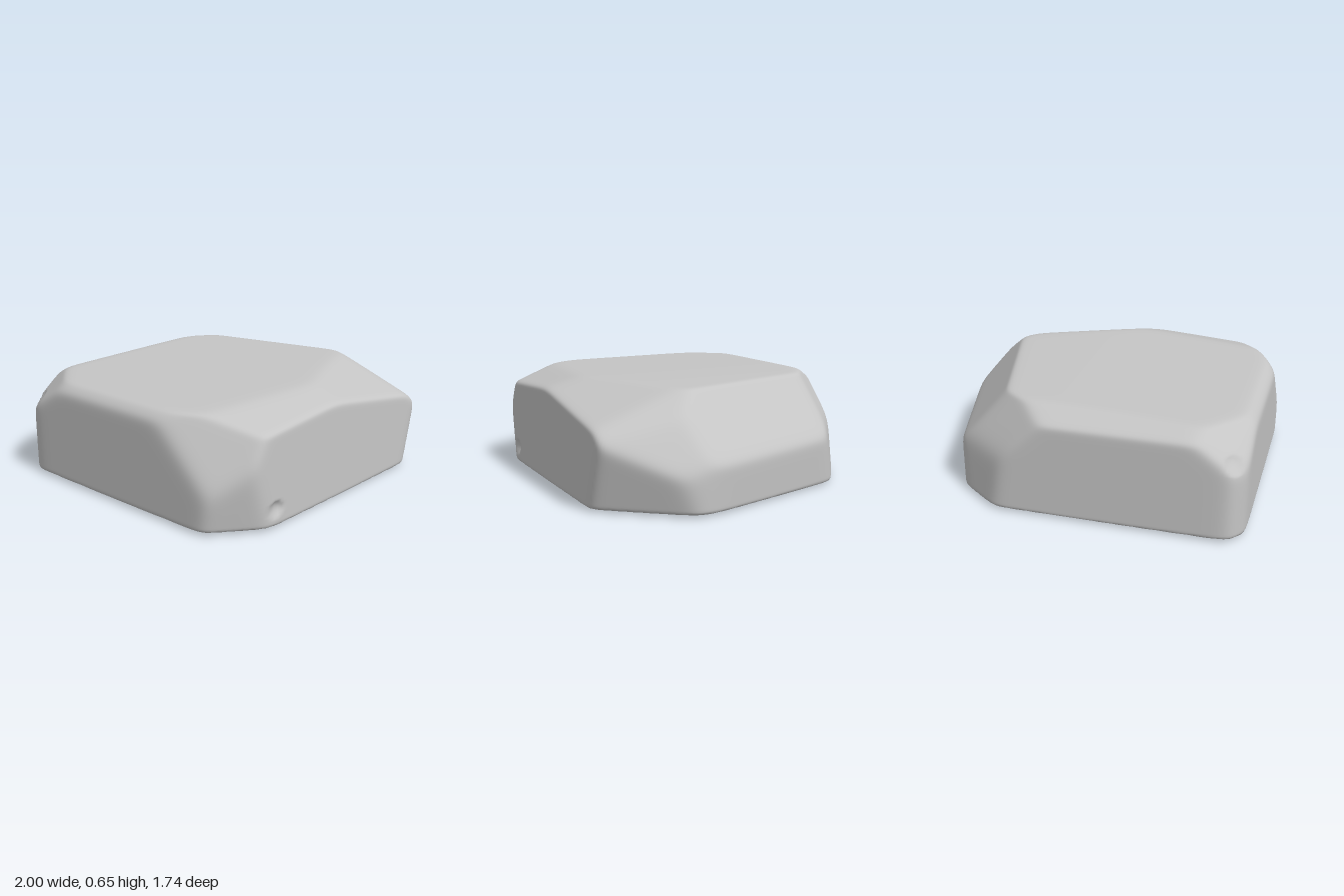
import * as THREE from 'three';
import { mergeVertices } from 'three/addons/utils/BufferGeometryUtils.js';

const CENTRE = new THREE.Vector3(0, 0.32, 0);
const SHARPNESS = 58; // higher gives tighter rounding between facets

// Each chipped facet: a point on it, then its outward normal
const FACETS = [
  [[0, -0.007, 0], [0.018, -1, 0]],               // slightly domed base
  [[0, -0.007, 0], [-0.018, -1, 0]],
  [[0, -0.007, 0], [0, -1, 0.02]],
  [[0, -0.007, 0], [0, -1, -0.02]],
  [[0.2, 0.658, 0], [-0.027, 1, 0]],              // top
  [[0.2, 0.658, 0], [0.02, 1, 0]],
  [[-1, 0.3, 0], [-1, 0, 0]],                     // sides
  [[0, 0.3, -0.87], [0, 0, -1]],
  [[0, 0.3, 0.865], [0, 0.03, 1]],
  [[0.9, 0.15, -0.1], [0.95, -0.05, -0.27]],
  [[1.01, 0.2, 0.35], [1, 0, 0.1]],
  [[0.615, 0.64, 0], [0.359, 0.32, -0.0925]],     // long slope on the left
  [[-0.96, 0.61, 0], [-0.6, 0.8, 0]],             // upper right bevel
  [[-0.06, 0.65, 0.65], [-0.0105, 0.147, 0.045]], // upper front slopes
  [[-0.06, 0.65, 0.65], [0.16, 1, 0.36]],
  [[0, 0.64, -0.74], [0, 0.9, -0.42]],            // upper back bevel
  [[-0.8, 0.32, 0.86], [-0.62, -0.14, 0.78]],     // front right corner
  [[-0.87, 0.63, 0.5], [-0.109, 0.061, 0.06]],
  [[0.73, 0.35, 0.86], [0.78, -0.22, 0.63]],      // front left corner
  [[0.84, 0.45, 0.47], [0.73, 0.51, 0.26]],
  [[0.64, 0.645, 0.35], [0.45, 0.75, 0.26]],
  [[0.575, 0.2, -0.76], [0.6, 0.1, -0.8]],        // back left corner
  [[0.41, 0.64, -0.64], [0.21, 0.215, -0.28]],
  [[-0.97, 0.3, -0.81], [-0.75, 0, -0.66]],       // back right corner
  [[-0.81, 0.63, -0.68], [-0.55, 0.72, -0.45]],
].map(([p, n]) => {
  const normal = new THREE.Vector3(...n).normalize();
  return { normal, reach: new THREE.Vector3(...p).sub(CENTRE).dot(normal) };
});

// Small pits: position, radius, depth
const PITS = [
  { at: new THREE.Vector3(-0.65, 0.11, 0.86), radius: 0.055, depth: 0.03 },
  { at: new THREE.Vector3(-0.94, 0.47, -0.82), radius: 0.07, depth: 0.02 },
];

// Distance from the centre to the softly rounded facets along a direction
function surfaceDistance(direction) {
  let sum = 0;
  for (const { normal, reach } of FACETS) {
    const t = normal.dot(direction) / reach;
    if (t > 0) sum += t ** SHARPNESS;
  }
  return sum ** (-1 / SHARPNESS);
}

function rockGeometry() {
  let geometry = new THREE.IcosahedronGeometry(1, 60);
  geometry.deleteAttribute('normal');
  geometry.deleteAttribute('uv');
  geometry = mergeVertices(geometry, 1e-5);
  const position = geometry.attributes.position;
  const v = new THREE.Vector3();
  for (let i = 0; i < position.count; i++) {
    // Flatten the sphere first so that vertices spread evenly over the slab
    v.fromBufferAttribute(position, i);
    v.set(v.x, v.y * 0.36, v.z * 0.87).normalize();
    v.multiplyScalar(surfaceDistance(v)).add(CENTRE);
    for (const { at, radius, depth } of PITS) {
      const d = v.distanceTo(at) / radius;
      if (d < 1) v.addScaledVector(at.clone().sub(CENTRE).normalize(), -depth * (1 - d * d));
    }
    position.setXYZ(i, v.x, v.y, v.z);
  }
  geometry.computeVertexNormals();
  return geometry;
}

export function createModel() {
  const group = new THREE.Group();
  group.name = 'rock';
  const stone = new THREE.MeshStandardMaterial({ color: 0xc5c5c5 });
  stone.name = 'grey stone';
  const rock = new THREE.Mesh(rockGeometry(), stone);
  rock.name = 'boulder';
  group.add(rock);
  return group;
}
